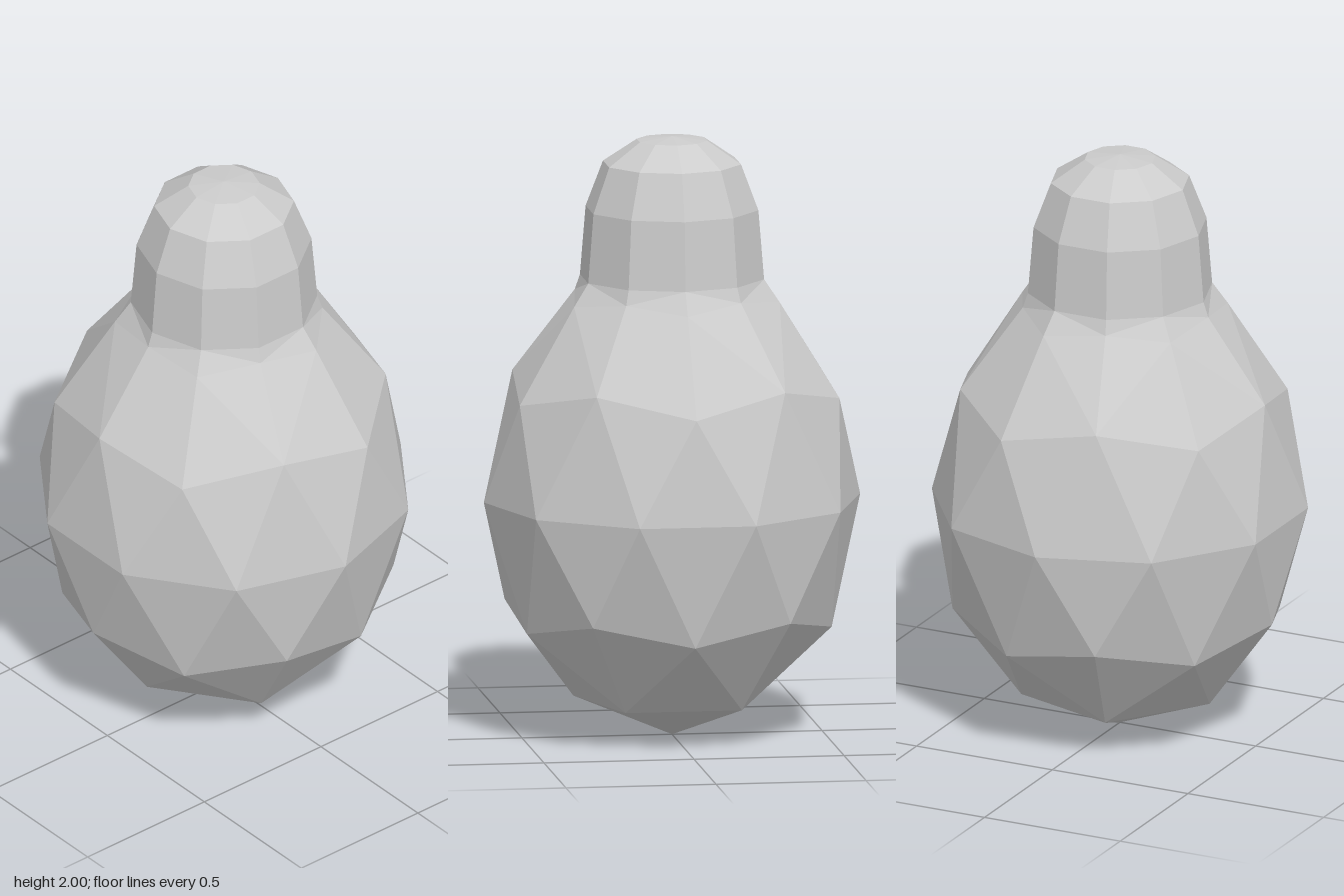
import * as THREE from 'three';

const SIDES = 10;

// Ring of points; even and odd points may differ in radius and height.
// Angle 0 faces the front (+z); shift is a fraction of one side.
function ring(rEven, yEven, rOdd = rEven, yOdd = yEven, shift = 0) {
  return Array.from({ length: SIDES }, (_, i) => {
    const a = ((i + shift) / SIDES) * Math.PI * 2;
    const r = i % 2 ? rOdd : rEven;
    return [r * Math.sin(a), i % 2 ? yOdd : yEven, r * Math.cos(a)];
  });
}

// Joins rings from bottom to top; lean sets the diagonal of each band:
// 'up', 'down' or 'alternate'. Optional end points close the shell.
function faceted(name, rings, leans, bottomY, topY) {
  const pos = [];
  const tri = (...points) => points.forEach((p) => pos.push(...p));
  for (let i = 0; i < SIDES; i++) {
    const j = (i + 1) % SIDES;
    leans.forEach((lean, k) => {
      const lo = rings[k], hi = rings[k + 1];
      if (lean === 'up' || (lean === 'alternate' && i % 2 === 0)) {
        tri(lo[i], lo[j], hi[j]);
        tri(lo[i], hi[j], hi[i]);
      } else {
        tri(lo[i], lo[j], hi[i]);
        tri(lo[j], hi[j], hi[i]);
      }
    });
    if (bottomY !== undefined) tri([0, bottomY, 0], rings[0][j], rings[0][i]);
    const last = rings[rings.length - 1];
    if (topY !== undefined) tri(last[i], last[j], [0, topY, 0]);
  }
  const geometry = new THREE.BufferGeometry();
  geometry.setAttribute('position', new THREE.Float32BufferAttribute(pos, 3));
  geometry.computeVertexNormals();
  const mesh = new THREE.Mesh(
    geometry,
    new THREE.MeshStandardMaterial({ color: 0xcccccc, flatShading: true, side: THREE.DoubleSide })
  );
  mesh.name = name;
  return mesh;
}

export function createModel() {
  const model = new THREE.Group();
  model.name = 'facetedBulb';

  // Rim shared by the body and the neck
  const shoulder = ring(0.325, 1.48, 0.36, 1.455);

  // Egg-shaped body, faceted like a subdivided icosahedron
  const body = faceted('body', [
    ring(0.33, 0.12, 0.33 * Math.cos(Math.PI / 5), 0.12),
    ring(0.56, 0.437, 0.534, 0.375),
    ring(0.627, 0.79, 0.627, 0.79, 0.5),
    ring(0.534, 1.205, 0.56, 1.14),
    shoulder,
  ], ['alternate', 'down', 'up', 'alternate'], 0);

  // Ten-sided neck with a domed cap
  const neck = faceted('neck', [
    shoulder,
    ring(0.308, 1.53),
    ring(0.289, 1.76),
    ring(0.231, 1.912),
    ring(0.118, 1.988),
  ], ['alternate', 'up', 'up', 'up'], undefined, 2);

  model.add(body, neck);
  return model;
}
